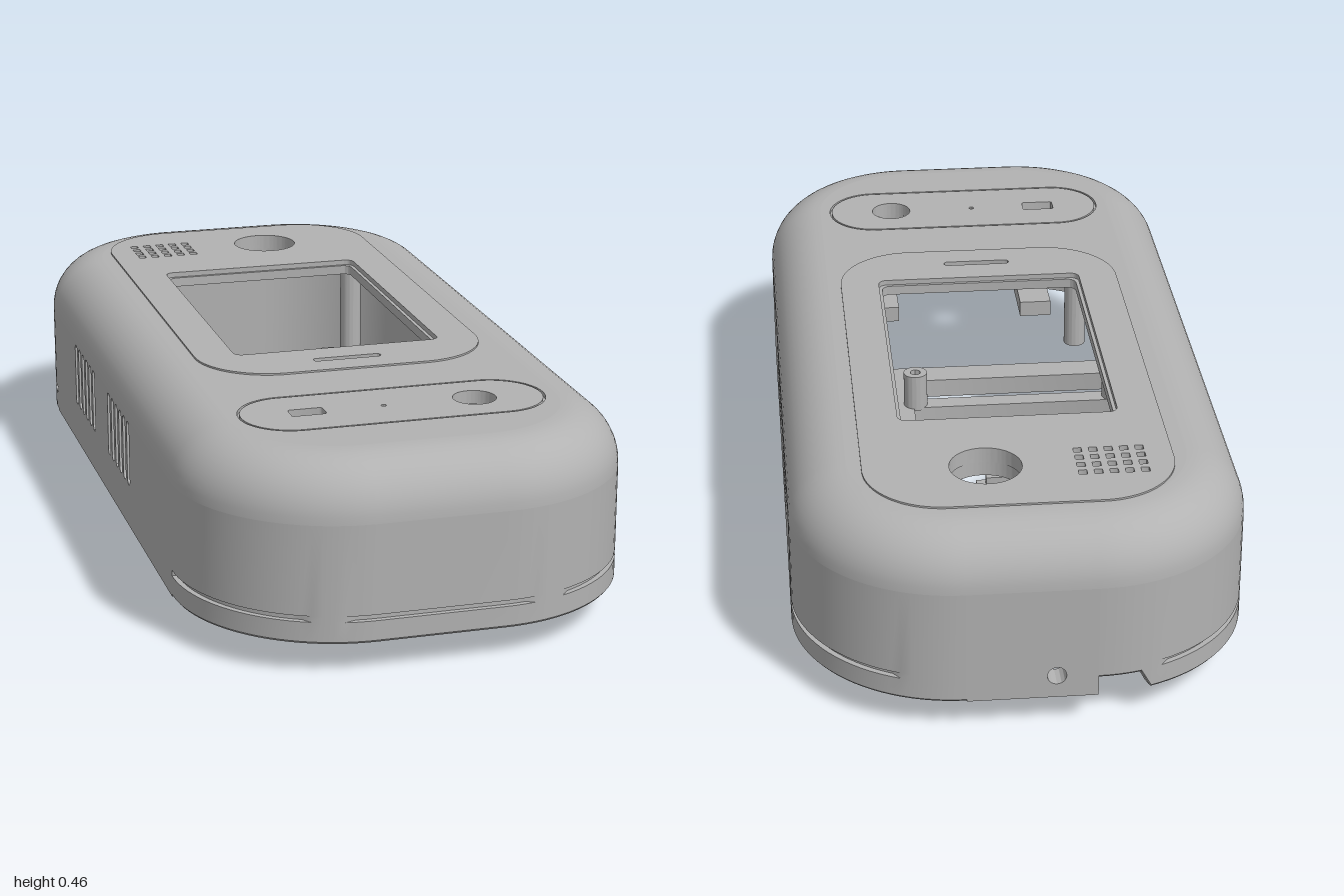
import * as THREE from 'three';
import { toCreasedNormals } from 'three/addons/utils/BufferGeometryUtils.js';

const grey = new THREE.MeshStandardMaterial({ color: 0xb2b2b2 });
grey.name = 'casing grey';

const CX = 0.137, CZ = 0.65, R = 0.35;   // plan corner centres and radius
const BOTTOM = 0.07, SHOULDER = 0.327, PLATE = 0.453, WALL = 0.03;

// rounded rectangle outline around (cx, cy)
function rrect(cx, cy, w, h, r, Type = THREE.Path) {
  const p = new Type(), x = w / 2 - r, y = h / 2 - r;
  p.moveTo(cx + x + r, cy - y);
  p.absarc(cx + x, cy + y, r, 0, Math.PI / 2);
  p.absarc(cx - x, cy + y, r, Math.PI / 2, Math.PI);
  p.absarc(cx - x, cy - y, r, Math.PI, Math.PI * 1.5);
  p.absarc(cx + x, cy - y, r, Math.PI * 1.5, Math.PI * 2);
  p.closePath();
  return p;
}
// plan outline given by its x and z limits (shape y is -z)
const plan = (x0, x1, z0, z1, r, Type) =>
  rrect((x0 + x1) / 2, -(z0 + z1) / 2, x1 - x0, z1 - z0, r, Type);
const circle = (x, z, r, Type) => plan(x - r, x + r, z - r, z + r, r - 1e-4, Type);

function extrude(shape, holes, depth) {
  shape.holes.push(...holes);
  return toCreasedNormals(
    new THREE.ExtrudeGeometry(shape, { depth, bevelEnabled: false, curveSegments: 12 }), 0.6);
}

// closed (inset, y) profile swept around the plan corners
function sweep(path, profileAt, closed) {
  const pos = [], idx = [];
  let n = 0;
  for (const [sx, sz, t] of path) {
    const c = Math.cos(t), s = Math.sin(t);
    const prof = profileAt(sx * CX + R * c, sz * CZ + R * s);
    n = prof.length;
    for (const [d, y] of prof) pos.push(sx * CX + (R - d) * c, y, sz * CZ + (R - d) * s);
  }
  const m = path.length;
  for (let i = 0; i < (closed ? m : m - 1); i++)
    for (let j = 0; j < n; j++) {
      const k = (i + 1) % m, l = (j + 1) % n;
      const a = i * n + j, b = k * n + j, c = k * n + l, d = i * n + l;
      idx.push(a, d, b, b, d, c);
    }
  const g = new THREE.BufferGeometry();
  g.setAttribute('position', new THREE.Float32BufferAttribute(pos, 3));
  g.setIndex(idx);
  return toCreasedNormals(g, 0.6);
}
function corner(q) {
  const out = [], sx = [1, -1, -1, 1][q], sz = [1, 1, -1, -1][q];
  for (let i = 0; i <= 24; i++) out.push([sx, sz, (q + i / 24) * Math.PI / 2]);
  return out;
}

export function createModel() {
  const model = new THREE.Group();
  const add = (name, geo, x = 0, y = 0, z = 0) => {
    const mesh = new THREE.Mesh(geo, grey);
    mesh.name = name;
    mesh.position.set(x, y, z);
    model.add(mesh);
  };
  const slab = (name, shape, holes, y0, y1) =>
    add(name, extrude(shape, holes, y1 - y0).rotateX(-Math.PI / 2), 0, y0, 0);
  const box = (name, x0, x1, y0, y1, z0, z1) =>
    add(name, new THREE.BoxGeometry(x1 - x0, y1 - y0, z1 - z0),
      (x0 + x1) / 2, (y0 + y1) / 2, (z0 + z1) / 2);
  const tube = (name, x, z, ro, ri, y0, y1) =>
    slab(name, circle(x, z, ro, THREE.Shape), [circle(x, z, ri)], y0, y1);

  // lower wall at the front and back corners, with slits and the cable notch
  const wallProfile = (x, z) => {
    const notch = z < 0 && x > -0.23 && x < -0.137;
    const y0 = notch ? 0.112 : BOTTOM;
    const slit = !notch && (Math.abs(x) < 0.187 && z > 0 || Math.abs(x) > 0.28) ? 0.012 : 0;
    return [[0.004, y0], [0, y0 + 0.005], [0, 0.118], [slit, 0.118], [slit, 0.131], [0, 0.131],
      [0, SHOULDER], [WALL, SHOULDER], [WALL, y0]];
  };
  add('frontWall', sweep([...corner(0), ...corner(1)], wallProfile, false));
  add('backLeftCorner', sweep(corner(2), wallProfile, false));
  add('backRightCorner', sweep(corner(3), wallProfile, false));

  // rounded shoulder all the way round
  const rim = [], r = PLATE - SHOULDER, ri = r - WALL;
  for (let i = 0; i <= 12; i++) {
    const t = i / 12 * Math.PI / 2;
    rim.push([r - r * Math.cos(t), SHOULDER + r * Math.sin(t)]);
  }
  for (let i = 12; i >= 0; i--) {
    const t = i / 12 * Math.PI / 2;
    rim.push([r - ri * Math.cos(t), SHOULDER + ri * Math.sin(t)]);
  }
  add('shoulder', sweep([0, 1, 2, 3].flatMap(corner), () => rim, true));

  // straight side walls with two banks of vents
  const midY = (BOTTOM + SHOULDER) / 2, wallH = SHOULDER - BOTTOM;
  for (const side of [1, -1]) {
    const vents = [];
    for (const start of [0.217, -0.174])
      for (let i = 0; i < 6; i++) vents.push(rrect(-(start - i * 0.0425), 0.245, 0.024, 0.15, 0.0115));
    const panel = extrude(rrect(0, midY, 2 * CZ, wallH, 1e-4, THREE.Shape), vents, WALL);
    add('ventedSide', panel.rotateY(Math.PI / 2), side > 0 ? CX + R - WALL : -CX - R, 0, 0);
  }

  // back wall with its round socket
  add('backWall', extrude(rrect(0, midY, 2 * CX, wallH, 1e-4, THREE.Shape),
    [rrect(-0.05, 0.122, 0.04, 0.04, 0.0199)], WALL), 0, 0, -1);
  add('socketRing', extrude(rrect(-0.05, 0.122, 0.064, 0.064, 0.0319, THREE.Shape),
    [rrect(-0.05, 0.122, 0.04, 0.04, 0.0199)], 0.04), 0, 0, -0.985);

  // openings in the top
  const upperHoles = (inset) => {
    const h = [plan(-0.24 + inset, 0.24 - inset, -0.485 + inset, 0.225 - inset, 0.02),
      circle(0.07, -0.7, 0.077), plan(-0.08, 0.076, 0.296, 0.315, 0.009)];
    for (let i = 0; i < 5; i++)
      for (let j = 0; j < 4; j++) {
        const x = -0.262 + i * 0.033, z = -0.746 + j * 0.032;
        h.push(plan(x - 0.009, x + 0.009, z - 0.009, z + 0.009, 0.002));
      }
    return h;
  };
  const buttonHoles = () => [plan(-0.226, -0.15, 0.62, 0.662, 0.006),
    circle(-0.02, 0.642, 0.006), circle(0.183, 0.642, 0.047)];
  const topOutline = () =>
    plan(-CX - R + r, CX + R - r, -CZ - R + r, CZ + R - r, R - r, THREE.Shape);

  // top plate in layers: base, skin with a pill-shaped groove, raised display panel
  slab('topBase', topOutline(), [...upperHoles(0.008), ...buttonHoles()], PLATE - WALL, 0.445);
  slab('topSkin', topOutline(), [...upperHoles(0), plan(-0.337, 0.337, 0.529, 0.755, 0.112)],
    0.445, PLATE);
  slab('buttonPanel', plan(-0.332, 0.332, 0.534, 0.75, 0.107, THREE.Shape), buttonHoles(),
    0.445, PLATE);
  slab('displayPanel', plan(-0.33, 0.33, -0.865, 0.38, 0.17, THREE.Shape), upperHoles(0),
    PLATE, 0.457);

  // collars under the button and lens openings
  tube('buttonCollar', 0.183, 0.642, 0.064, 0.05, 0.37, 0.425);
  tube('lensCollar', 0.07, -0.7, 0.092, 0.079, 0.39, 0.425);

  // inner mounting frame with a cross bar, posts and screw lugs
  slab('mountFrame', plan(-0.41, 0.25, -0.47, 0.33, 0.01, THREE.Shape),
    [plan(-0.33, 0.165, -0.385, 0.12, 0.004), plan(-0.33, 0.165, 0.165, 0.26, 0.004)], 0.12, 0.165);
  for (const x of [-0.32, 0.16])
    for (const z of [-0.4, 0.142]) tube('framePost', x, z, 0.028, 0.012, 0.16, 0.25);
  for (const x of [-0.42, 0.26])
    for (const z of [-0.38, 0.25]) tube('frameLug', x, z, 0.034, 0.015, 0.115, 0.17);

  // posts hanging from the top plate
  for (const x of [-0.26, 0.26])
    for (const z of [-0.56, 0.43]) tube('hangingPost', x, z, 0.026, 0.011, 0.17, 0.425);

  // catch blocks inside the front wall
  for (const x of [-0.2, 0.2]) box('catchBlock', x - 0.04, x + 0.04, 0.08, 0.12, 0.77, 0.95);

  // loose slider key below the casing
  box('sliderBase', -0.165, 0.025, 0, 0.012, -0.025, 0.025);
  box('sliderRib', -0.145, 0.003, 0.012, 0.035, -0.008, 0.008);

  return model;
}
